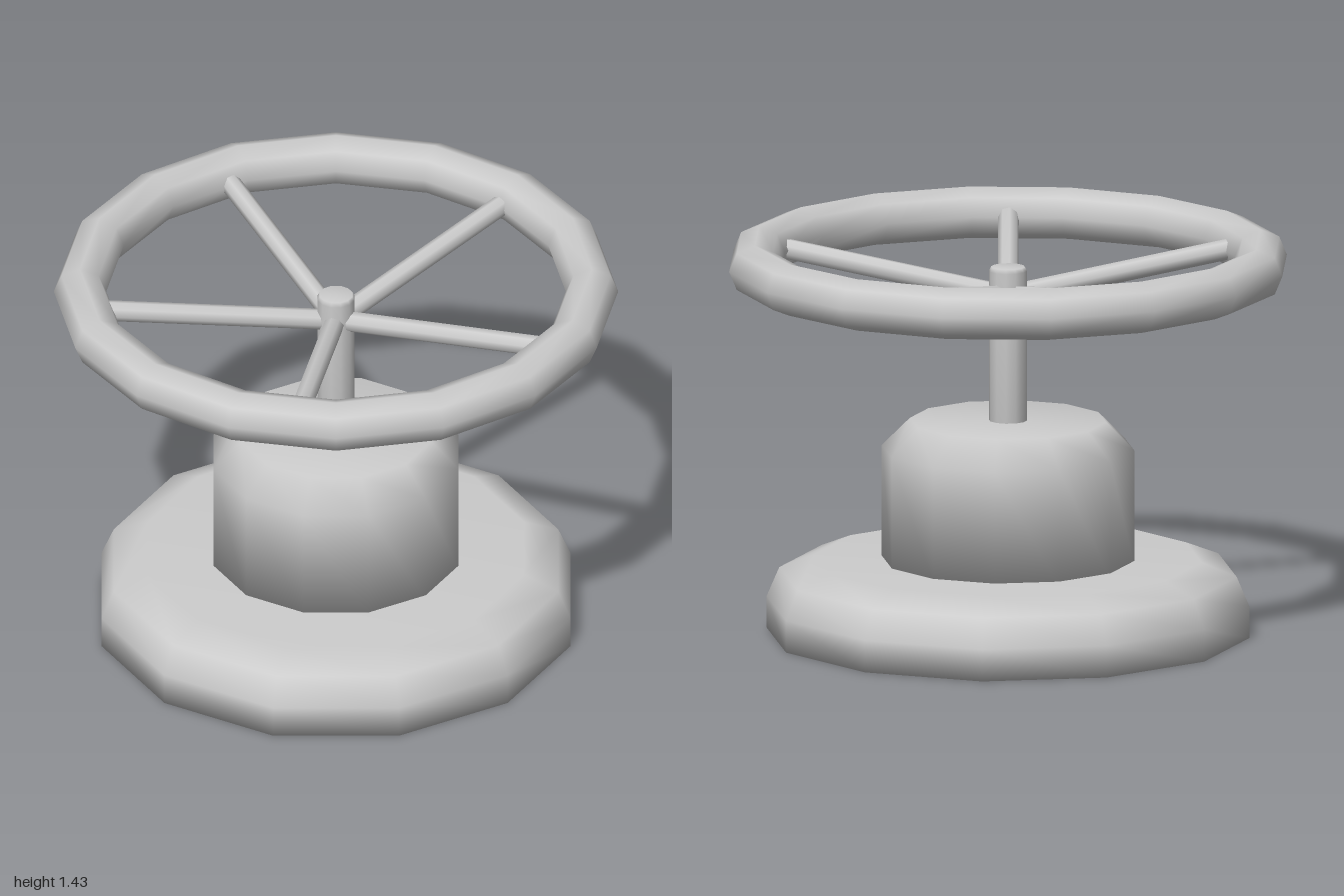
import * as THREE from 'three';

const material = new THREE.MeshStandardMaterial({ color: 0xcccccc });

// Smooth solid of revolution; profile is [radius, y] from bottom to top
function turned(name, profile, sides) {
  const points = profile.map(([r, y]) => new THREE.Vector2(r, y));
  const mesh = new THREE.Mesh(new THREE.LatheGeometry(points, sides), material);
  mesh.name = name;
  return mesh;
}

export function createModel() {
  const model = new THREE.Group();
  model.name = 'valveWheel';

  // Wide foot with a rounded shoulder
  model.add(turned('base', [[0, 0], [0.86, 0], [0.86, 0.115], [0.815, 0.22], [0.69, 0.27], [0, 0.27]], 12));

  // Housing with a chamfered top
  model.add(turned('housing', [[0, 0.25], [0.45, 0.25], [0.45, 0.67], [0.35, 0.77], [0, 0.77]], 12));

  // Stem
  model.add(turned('stem', [[0, 0.75], [0.068, 0.75], [0.068, 1.31], [0.06, 1.325], [0, 1.325]], 12));

  // Wheel rim
  const rim = new THREE.Mesh(new THREE.TorusGeometry(0.907, 0.093, 8, 16), material);
  rim.name = 'rim';
  rim.rotation.x = Math.PI / 2;
  rim.position.y = 1.337;
  model.add(rim);

  // Five spokes rising from the stem to the rim, the first pointing back
  const spokes = new THREE.Group();
  spokes.name = 'spokes';
  const hub = new THREE.Vector3(0, 1.22, 0);
  const up = new THREE.Vector3(0, 1, 0);
  for (let i = 0; i < 5; i++) {
    const a = (i * 2 * Math.PI) / 5;
    const tip = new THREE.Vector3(Math.sin(a) * 0.825, 1.337, -Math.cos(a) * 0.825);
    const dir = tip.clone().sub(hub);
    const length = dir.length();
    const spoke = turned('spoke', [[0, 0], [0.037, 0], [0.037, length], [0, length]], 8);
    spoke.position.copy(hub);
    spoke.quaternion.setFromUnitVectors(up, dir.normalize());
    spokes.add(spoke);
  }
  model.add(spokes);

  return model;
}
